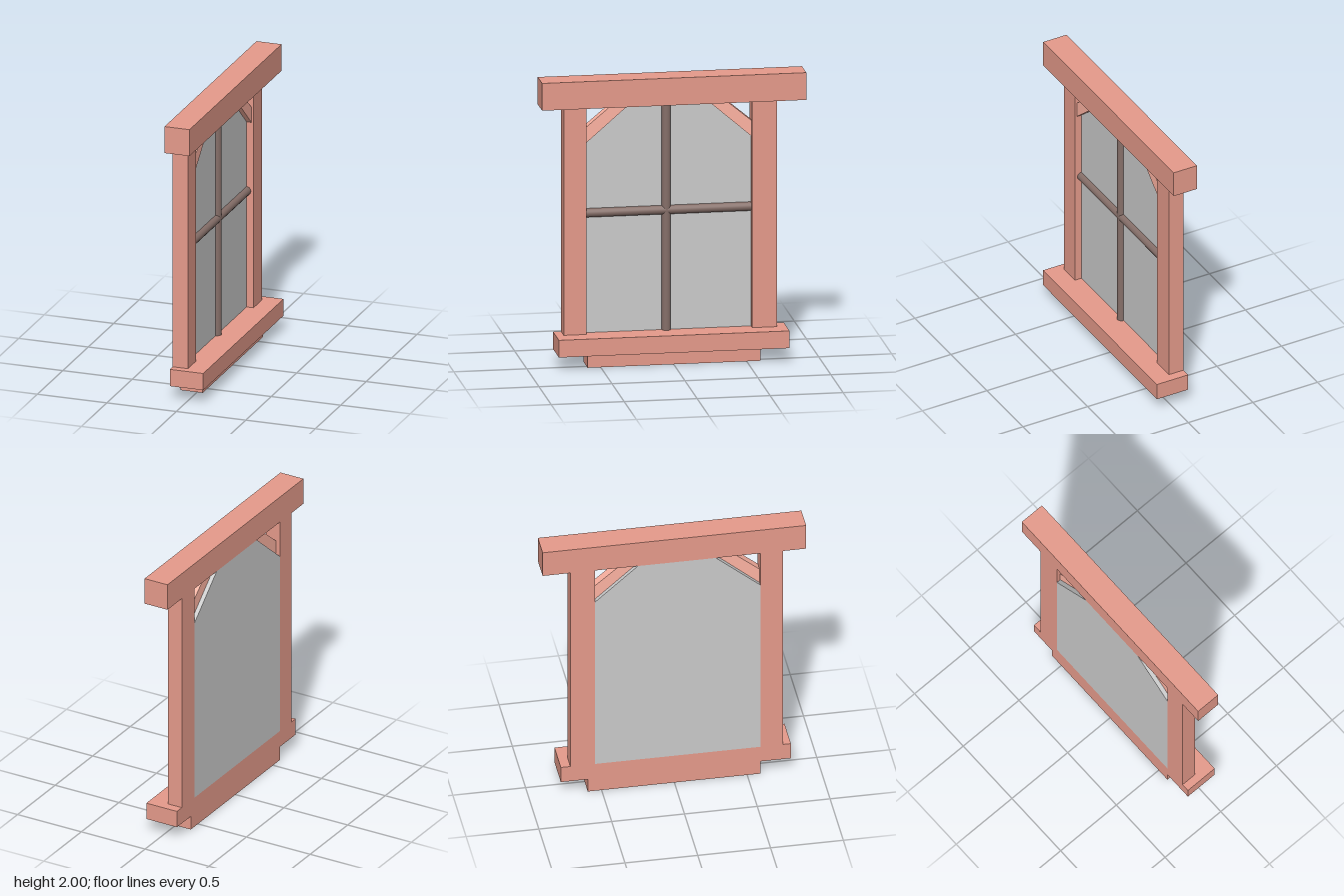
import * as THREE from 'three';

const wood = new THREE.MeshStandardMaterial({ color: 0xe69b8b });
const lightWood = new THREE.MeshStandardMaterial({ color: 0xffb4a3 });
const barMaterial = new THREE.MeshStandardMaterial({ color: 0x866f69 });
const paneMaterial = new THREE.MeshStandardMaterial({ color: 0xcccccc });

const BACK = -0.12;
// Opening between the posts
const Z0 = -0.545, Z1 = 0.59, Y0 = 0.22, Y1 = 1.81;

export function createModel() {
  const group = new THREE.Group();

  const add = (name, geometry, material) => {
    const mesh = new THREE.Mesh(geometry, material);
    mesh.name = name;
    group.add(mesh);
    return mesh;
  };

  // Timber with its back on the wall plane
  const timber = (name, xFront, y0, y1, z0, z1) => {
    add(name, new THREE.BoxGeometry(xFront - BACK, y1 - y0, z1 - z0), wood)
      .position.set((xFront + BACK) / 2, (y0 + y1) / 2, (z0 + z1) / 2);
  };

  // Outline of [z, y] points extruded along x
  const slab = (name, points, x0, x1, material) => {
    const shape = new THREE.Shape(points.map(([z, y]) => new THREE.Vector2(-z, y)));
    const geometry = new THREE.ExtrudeGeometry(shape, { depth: x1 - x0, bevelEnabled: false });
    geometry.rotateY(Math.PI / 2).translate(x0, 0, 0);
    add(name, geometry, material);
  };

  // Frame
  timber('header', 0.06, Y1, 2, -0.905, 0.905);
  timber('leftPost', -0.01, Y0, Y1, -0.715, Z0);
  timber('rightPost', -0.01, Y0, Y1, Z1, 0.745);
  timber('sill', 0.12, 0.10, Y0, -0.78, 0.80);
  timber('apron', 0.04, 0, 0.10, -0.595, 0.59);

  // Pane with its upper corners cut along the braces
  slab('pane', [
    [Z1, Y0], [Z0, Y0], [Z0, 1.55], [-0.25, Y1], [0.285, Y1], [Z1, 1.55],
  ], BACK, -0.06, paneMaterial);

  // Diagonal corner braces
  for (const [name, z, s] of [['leftBrace', Z0, 1], ['rightBrace', Z1, -1]]) {
    slab(name, [
      [z, 1.55], [z + s * 0.3, Y1], [z + s * 0.18, Y1], [z, 1.66],
    ], -0.09, -0.025, lightWood);
  }

  // Round glazing bars half set into the pane
  add('verticalBar', new THREE.CylinderGeometry(0.031, 0.031, Y1 - Y0, 16), barMaterial)
    .position.set(-0.06, (Y0 + Y1) / 2, 0.035);
  const horizontal = add('horizontalBar', new THREE.CylinderGeometry(0.031, 0.031, Z1 - Z0, 16), barMaterial);
  horizontal.rotation.x = Math.PI / 2;
  horizontal.position.set(-0.06, 1.055, (Z0 + Z1) / 2);

  return group;
}
